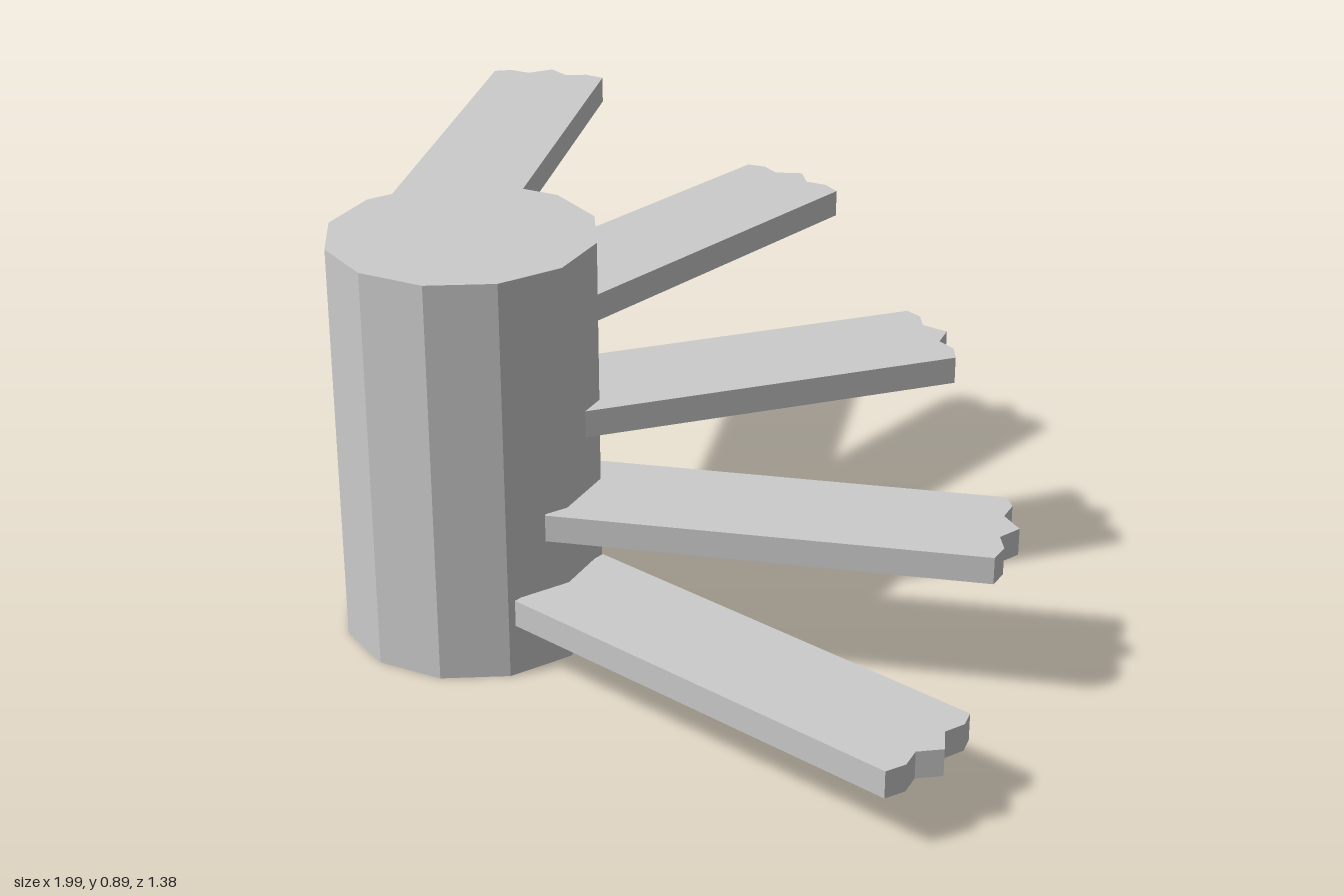
import * as THREE from 'three';

const SIDES = 12, RADIUS = 0.285, HEIGHT = 0.895;
const HALF_WIDTH = 0.134, THICKNESS = 0.06;

// Splintered end: [position across the plank (-1..1), extra length]
const SPLINTERS = [[-1, 0], [-0.72, 0.015], [-0.37, 0.002], [0, 0.038], [0.32, 0.002], [0.67, 0.015], [1, 0]];

// Planks spiral up the post: angle in degrees, underside height, inner and outer reach, sideways shift
const PLANKS = [
  { angle: 0, y: 0.12, start: 0.255, end: 1.222, shift: -0.003 },
  { angle: 30, y: 0.297, start: 0.21, end: 1.137, shift: 0.052 },
  { angle: 60, y: 0.482, start: 0.2, end: 1.038, shift: 0.053 },
  { angle: 90, y: 0.657, start: 0.245, end: 1.062, shift: 0.01 },
  { angle: 120, y: 0.815, start: 0.16, end: 1.083, shift: -0.087 },
];

function plankGeometry({ start, end, shift }) {
  const shape = new THREE.Shape();
  shape.moveTo(start, -shift + HALF_WIDTH);
  shape.lineTo(start, -shift - HALF_WIDTH);
  // Walk the broken end from one edge to the other
  for (const [t, extra] of [...SPLINTERS].reverse()) shape.lineTo(end + extra, -shift - t * HALF_WIDTH);
  shape.closePath();
  const geometry = new THREE.ExtrudeGeometry(shape, { depth: THICKNESS, bevelEnabled: false });
  return geometry.rotateX(-Math.PI / 2);
}

export function createModel() {
  const model = new THREE.Group();
  model.name = 'spiralPlankSteps';
  const material = new THREE.MeshStandardMaterial({ color: 0xcccccc, flatShading: true });
  const shellMaterial = new THREE.MeshStandardMaterial({ color: 0xcccccc, flatShading: true, side: THREE.DoubleSide });

  // Everything is placed around the axis of the post
  const assembly = new THREE.Group();
  assembly.name = 'postAndPlanks';
  assembly.position.set(-0.265, 0, 0.405);
  model.add(assembly);

  // Faceted post, open underneath
  const post = new THREE.Mesh(new THREE.CylinderGeometry(RADIUS, RADIUS, HEIGHT, SIDES, 1, true), shellMaterial);
  post.name = 'post';
  post.position.y = HEIGHT / 2;
  assembly.add(post);

  const top = new THREE.Mesh(new THREE.CircleGeometry(RADIUS, SIDES).rotateX(-Math.PI / 2), shellMaterial);
  top.name = 'postTop';
  top.position.y = HEIGHT;
  assembly.add(top);

  // Broken planks
  PLANKS.forEach((spec, i) => {
    const plank = new THREE.Mesh(plankGeometry(spec), material);
    plank.name = `plank${i + 1}`;
    plank.position.y = spec.y;
    plank.rotation.y = THREE.MathUtils.degToRad(spec.angle);
    assembly.add(plank);
  });

  return model;
}
